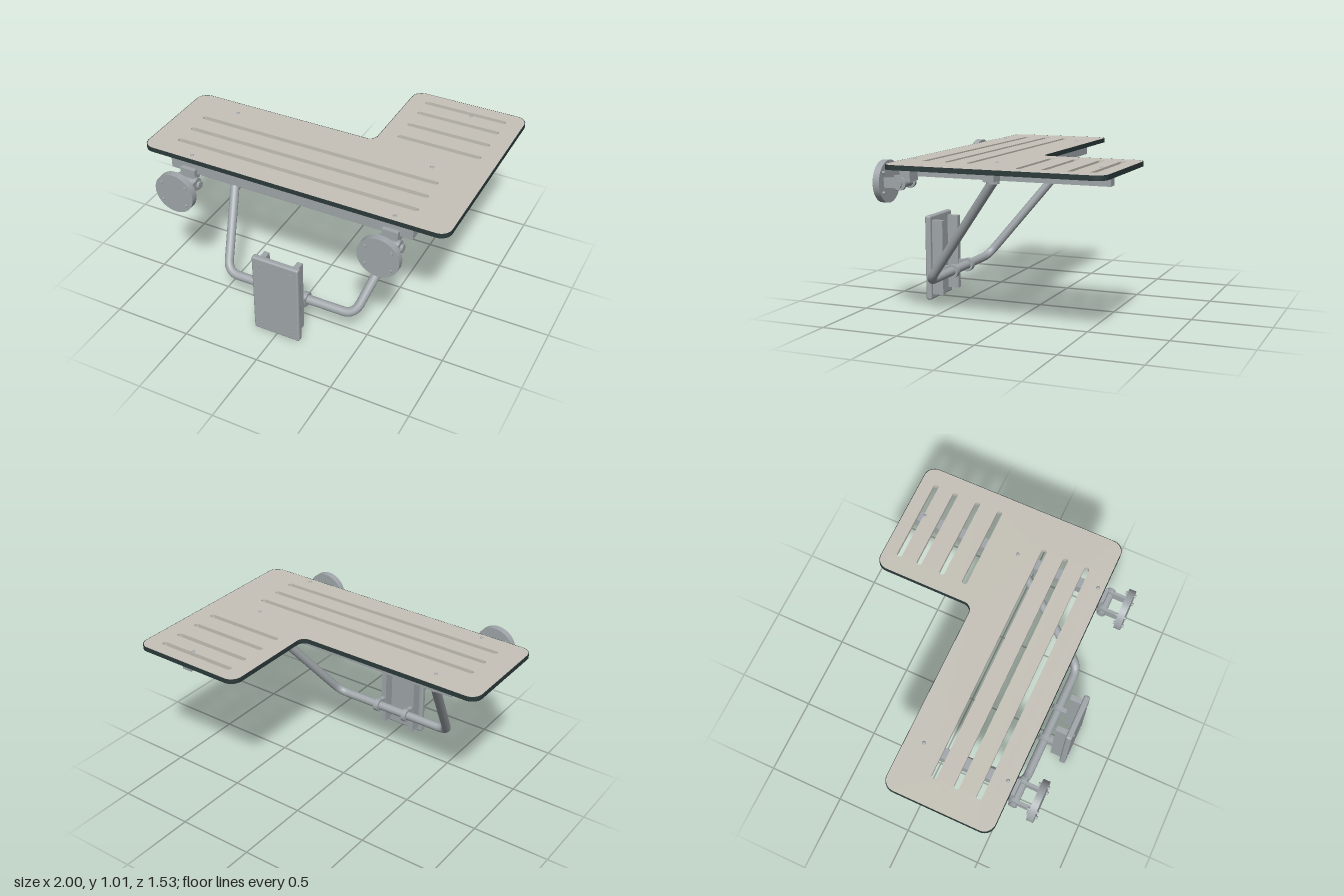
import * as THREE from 'three';
import { RoundedBoxGeometry } from 'three/addons/geometries/RoundedBoxGeometry.js';

const metal = new THREE.MeshStandardMaterial({ name: 'grey metal', color: 0xa0a6aa });
const beige = new THREE.MeshStandardMaterial({ name: 'beige panel', color: 0xc6c2b8 });
const dark = new THREE.MeshStandardMaterial({ name: 'dark edging', color: 0x2c3a3a });

function add(parent, name, geometry, material, x = 0, y = 0, z = 0) {
  const mesh = new THREE.Mesh(geometry, material);
  mesh.name = name;
  mesh.position.set(x, y, z);
  parent.add(mesh);
  return mesh;
}

// box given by its two opposite corners
function box(parent, name, x0, x1, y0, y1, z0, z1, material = metal) {
  return add(parent, name, new THREE.BoxGeometry(x1 - x0, y1 - y0, z1 - z0), material,
    (x0 + x1) / 2, (y0 + y1) / 2, (z0 + z1) / 2);
}

// cylinder along the x, y or z axis
function rod(parent, name, axis, r, length, x, y, z, sides = 24) {
  const g = new THREE.CylinderGeometry(r, r, length, sides);
  if (axis === 'x') g.rotateZ(Math.PI / 2);
  if (axis === 'z') g.rotateX(Math.PI / 2);
  return add(parent, name, g, metal, x, y, z);
}

// closed outline with rounded corners; each corner is [x, y, radius]
function roundedOutline(corners, target) {
  const n = corners.length;
  corners.forEach(([x, y, r], i) => {
    const c = new THREE.Vector2(x, y);
    const toward = ([px, py]) =>
      new THREE.Vector2(px, py).sub(c).normalize().multiplyScalar(r).add(c);
    const a = toward(corners[(i + n - 1) % n]);
    const b = toward(corners[(i + 1) % n]);
    if (i === 0) target.moveTo(a.x, a.y);
    else target.lineTo(a.x, a.y);
    // conic-like arc made from a cubic
    const k = 0.5523;
    target.bezierCurveTo(a.x + (c.x - a.x) * k, a.y + (c.y - a.y) * k,
      b.x + (c.x - b.x) * k, b.y + (c.y - b.y) * k, b.x, b.y);
  });
  target.closePath();
  return target;
}

// L-shaped seat outline in (x, -z), pulled in by d
function seatOutline(d, target) {
  return roundedOutline([
    [-1 + d, -0.577 + d, 0.07], [1 - d, -0.577 + d, 0.07], [1 - d, 0.765 - d, 0.07],
    [0.235 + d, 0.765 - d, 0.07], [0.235 + d, 0.11 - d, 0.055], [-1 + d, 0.11 - d, 0.07],
  ], target);
}

function slot(x0, x1, z, r = 0.0165) {
  const p = new THREE.Path();
  p.absarc(x0 + r, -z, r, Math.PI / 2, Math.PI * 1.5, false);
  p.absarc(x1 - r, -z, r, -Math.PI / 2, Math.PI / 2, false);
  p.closePath();
  return p;
}

function slab(shape) {
  const g = new THREE.ExtrudeGeometry(shape, { depth: 0.029, bevelEnabled: false, curveSegments: 8 });
  return g.rotateX(-Math.PI / 2);
}

function makeSeat() {
  const seat = new THREE.Group();
  seat.name = 'seat';
  // slotted panel
  const panel = seatOutline(0.003, new THREE.Shape());
  for (const z of [-0.66, -0.526, -0.371, -0.219]) panel.holes.push(slot(0.345, 0.89, z));
  for (const z of [0.14, 0.283, 0.425]) panel.holes.push(slot(-0.837, 0.762, z));
  add(seat, 'seatPanel', slab(panel), beige, 0, 0.97, 0);
  // dark rim
  const rim = seatOutline(0, new THREE.Shape());
  rim.holes.push(seatOutline(0.003, new THREE.Path()));
  add(seat, 'seatEdge', slab(rim), dark, 0, 0.97, 0);
  // fixing bolts
  for (const [x, z] of [[-0.667, 0], [0.665, 0], [-0.667, 0.535], [0.665, 0.535], [0.665, -0.635]]) {
    const bolt = add(seat, 'seatBolt',
      new THREE.SphereGeometry(0.012, 14, 6, 0, Math.PI * 2, 0, Math.PI / 2), metal, x, 0.998, z);
    bolt.scale.y = 0.6;
  }
  return seat;
}

function makeFrame() {
  const frame = new THREE.Group();
  frame.name = 'frame';
  box(frame, 'frontCrossBeam', -0.795, 0.795, 0.9, 0.97, 0.503, 0.57);
  box(frame, 'middleCrossBeam', -0.795, 0.795, 0.9, 0.97, -0.033, 0.035);
  box(frame, 'longSideBeam', 0.632, 0.7, 0.899, 0.969, -0.7, 0.565);
  box(frame, 'shortSideBeam', -0.7, -0.632, 0.899, 0.969, -0.03, 0.565);
  return frame;
}

// round wall flange with a pivoting hinge
function makeHinge(x) {
  const hinge = new THREE.Group();
  hinge.name = 'wallHinge';
  hinge.position.set(x, 0.855, 0);
  rod(hinge, 'flange', 'z', 0.13, 0.043, 0, 0, 0.7315, 48);
  for (const sx of [-1, 1]) {
    for (const sy of [-1, 1]) rod(hinge, 'flangeScrew', 'z', 0.01, 0.07, sx * 0.08, sy * 0.061, 0.73, 12);
    // rounded lug
    const shape = new THREE.Shape();
    shape.moveTo(-0.715, -0.03);
    shape.lineTo(-0.632, -0.03);
    shape.absarc(-0.606, -0.003, 0.04, -Math.PI * 0.75, Math.PI * 0.75, false);
    shape.lineTo(-0.632, 0.03);
    shape.lineTo(-0.715, 0.03);
    const g = new THREE.ExtrudeGeometry(shape, { depth: 0.02, bevelEnabled: false, curveSegments: 16 });
    g.rotateY(Math.PI / 2).translate(-0.01, 0, 0);
    add(hinge, 'lug', g, metal, sx * 0.062, 0, 0);
    rod(hinge, 'pivotNut', 'x', 0.026, 0.016, sx * 0.085, -0.003, 0.606, 6);
  }
  rod(hinge, 'pivotPin', 'x', 0.012, 0.185, 0, -0.003, 0.606, 16);
  rod(hinge, 'barrel', 'x', 0.028, 0.1, 0, -0.003, 0.606);
  box(hinge, 'hingeTab', -0.05, 0.05, 0.01, 0.08, 0.545, 0.598);
  return hinge;
}

// bent support tube, one U from side to side
function makeSupport() {
  const support = new THREE.Group();
  support.name = 'support';
  const top = new THREE.Vector3(0.647, 0.895, 0.028);
  const corner = new THREE.Vector3(0.443, 0.2, 0.573);
  const bendStart = corner.clone().lerp(top, 0.09);
  const bendEnd = new THREE.Vector3(0.365, 0.2, 0.573);
  const mirror = (v) => new THREE.Vector3(-v.x, v.y, v.z);
  const path = new THREE.CurvePath();
  path.add(new THREE.LineCurve3(top, bendStart));
  path.add(new THREE.QuadraticBezierCurve3(bendStart, corner, bendEnd));
  path.add(new THREE.LineCurve3(bendEnd, mirror(bendEnd)));
  path.add(new THREE.QuadraticBezierCurve3(mirror(bendEnd), mirror(corner), mirror(bendStart)));
  path.add(new THREE.LineCurve3(mirror(bendStart), mirror(top)));
  add(support, 'supportTube', new THREE.TubeGeometry(path, 160, 0.029, 20, false), metal);
  for (const s of [-1, 1]) rod(support, 'tubeSocket', 'y', 0.039, 0.03, s * 0.65, 0.888, 0.036);
  return support;
}

// lower wall plate with rails and tube collars
function makeWallMount() {
  const mount = new THREE.Group();
  mount.name = 'wallMount';
  add(mount, 'wallPlate', new RoundedBoxGeometry(0.314, 0.56, 0.04, 3, 0.012), metal, 0, 0.28, 0.73);
  for (const s of [-1, 1]) {
    const x = s * 0.113;
    box(mount, 'rail', x - 0.018, x + 0.018, 0.035, 0.53, 0.635, 0.712);
    box(mount, 'collarArm', x - 0.015, x + 0.015, 0.168, 0.232, 0.585, 0.64);
    rod(mount, 'collar', 'x', 0.045, 0.034, x, 0.198, 0.573);
    for (const y of [0.055, 0.508]) rod(mount, 'plateScrew', 'z', 0.01, 0.012, s * 0.105, y, 0.749, 14);
  }
  return mount;
}

export function createModel() {
  const model = new THREE.Group();
  model.name = 'foldingShowerSeat';
  model.add(makeSeat(), makeFrame(), makeHinge(-0.667), makeHinge(0.665), makeSupport(), makeWallMount());
  return model;
}
